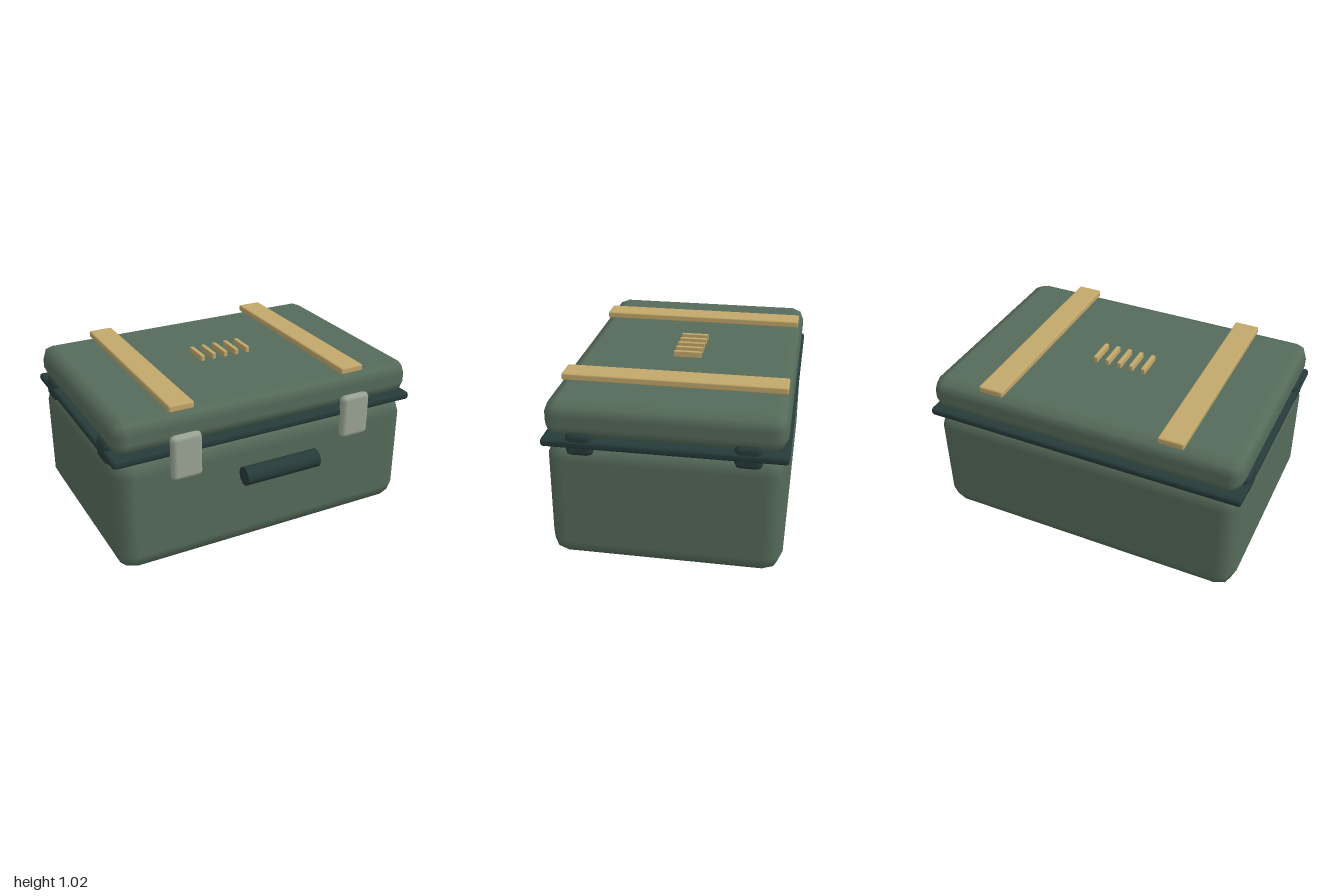
import * as THREE from 'three';
import { RoundedBoxGeometry } from 'three/addons/geometries/RoundedBoxGeometry.js';

const green = new THREE.MeshStandardMaterial({ color: 0x556b5a });
const dark = new THREE.MeshStandardMaterial({ color: 0x263b3a });
const tan = new THREE.MeshStandardMaterial({ color: 0xc2a86b });
const grey = new THREE.MeshStandardMaterial({ color: 0x9aa595 });

export function createModel() {
  const model = new THREE.Group();
  model.name = 'case';

  // Softly bevelled box given by its extents on each axis
  function block(name, material, [x0, x1], [y0, y1], [z0, z1], radius) {
    const geometry = new RoundedBoxGeometry(x1 - x0, y1 - y0, z1 - z0, 1, radius);
    const mesh = new THREE.Mesh(geometry, material);
    mesh.position.set((x0 + x1) / 2, (y0 + y1) / 2, (z0 + z1) / 2);
    mesh.name = name;
    model.add(mesh);
    return mesh;
  }
  const around = (centre, size) => [centre - size / 2, centre + size / 2];

  // Shell: lower body, seal and lid
  block('body', green, [-0.985, 0.985], [0, 0.745], [-0.755, 0.6], 0.11);
  block('seal', dark, [-1, 1], [0.725, 0.775], [-0.768, 0.61], 0.02);
  block('lid', green, [-0.985, 0.985], [0.77, 0.985], [-0.755, 0.6], 0.08);

  for (const [side, label] of [[1, 'left'], [-1, 'right']]) {
    // Lid straps and front latches
    block(label + 'Strap', tan, around(side * 0.567, 0.155), [0.98, 1.023], [-0.73, 0.575], 0.01);
    block(label + 'Latch', grey, around(side * 0.567, 0.194), [0.58, 0.86], [0.585, 0.648], 0.03);
    // Side clasps bridging the seal
    for (const z of [0.39, -0.548]) {
      block(label + 'Clasp', dark, around(side * 0.96, 0.07), [0.675, 0.82], around(z, 0.16), 0.045);
    }
  }

  // Row of ridges on the lid
  for (let i = -2; i <= 2; i++) {
    block('lidRidge', tan, around(0.003 + i * 0.079, 0.026), [0.975, 1.02], [-0.17, 0], 0.004);
  }

  // Carry handle
  const handle = new THREE.Mesh(new THREE.CylinderGeometry(0.058, 0.058, 0.49, 10), dark);
  handle.name = 'handle';
  handle.rotation.z = Math.PI / 2;
  handle.position.set(0, 0.545, 0.71);
  model.add(handle);

  return model;
}
